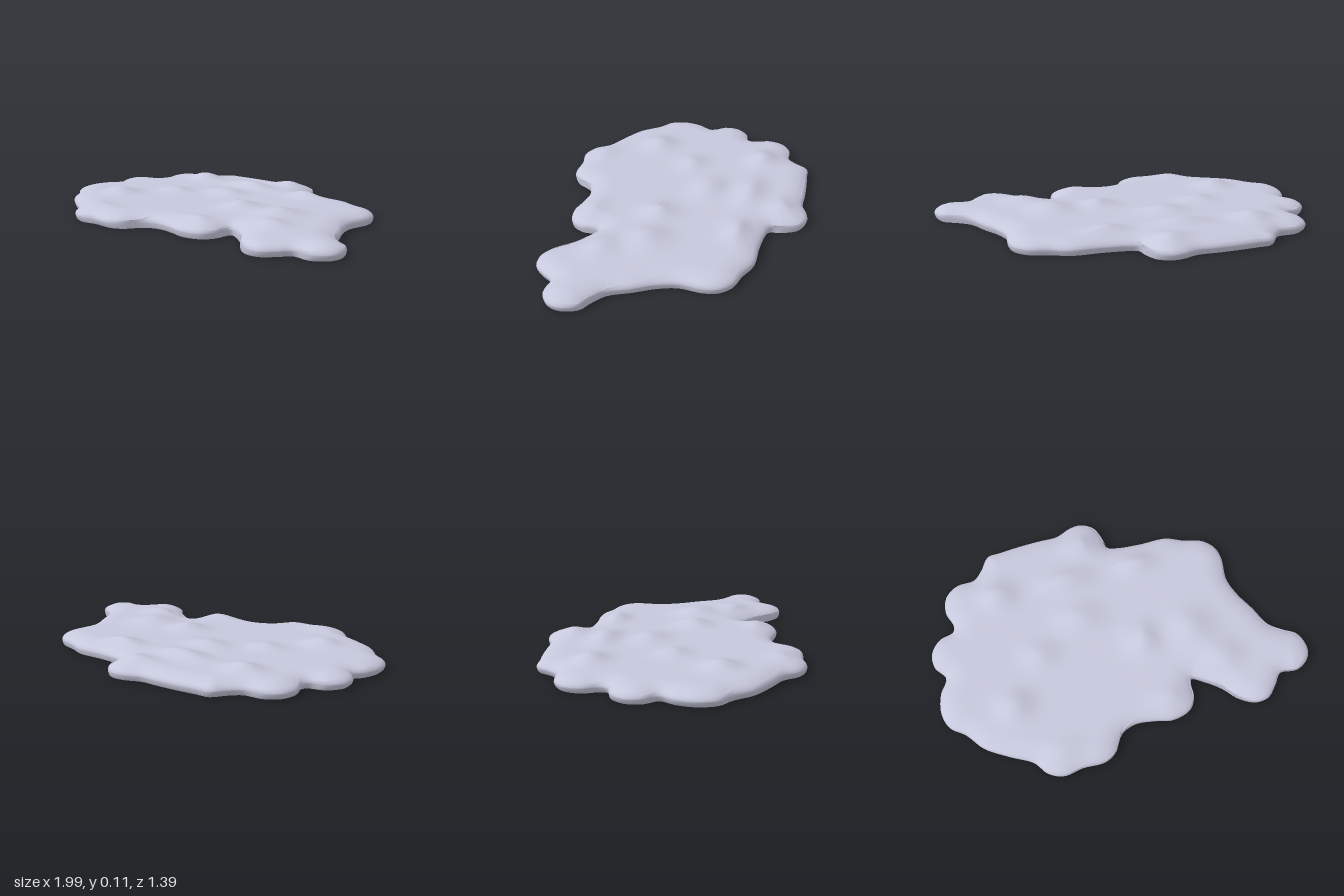
import * as THREE from 'three';

// Plan outline as x, z points
const OUTLINE = [
  1, .28, .985, .34, .92, .39, .82, .39, .775, .45, .72, .51, .65, .52, .57, .48,
  .5, .41, .42, .355, .345, .32, .335, .36, .335, .42, .3, .485, .2, .52, .1, .505,
  0, .5, -.08, .535, -.14, .63, -.2, .665, -.32, .67, -.42, .69, -.5, .66, -.56, .59,
  -.68, .53, -.8, .46, -.88, .37, -.96, .31, -.99, .22, -.975, .12, -.935, .04, -.985, -.03,
  -.99, -.11, -.94, -.18, -.86, -.21, -.85, -.25, -.88, -.33, -.865, -.42, -.8, -.475, -.7, -.49,
  -.65, -.54, -.6, -.615, -.53, -.625, -.42, -.64, -.3, -.65, -.2, -.655, -.12, -.69, -.06, -.7,
  .01, -.67, .05, -.59, .065, -.53, .12, -.515, .25, -.51, .4, -.515, .5, -.48, .6, -.455,
  .66, -.4, .68, -.33, .675, -.2, .71, -.1, .77, 0, .83, .11, .9, .16, .97, .2,
];

// Soft mounds on the upper side: x, z, radius x, radius z, height
const MOUNDS = [
  [-.58, -.35, .11, .09, .036], [-.2, -.36, .17, .08, .034], [.2, -.38, .12, .08, .03],
  [-.17, -.13, .13, .1, .03], [-.42, .03, .1, .09, .026], [-.6, .28, .1, .1, .036],
  [.14, .06, .1, .1, .036], [.4, .05, .13, .13, .036], [.53, .24, .12, .1, .028],
  [.2, .41, .11, .08, .016], [-.4, .56, .12, .08, .012], [-.08, -.56, .12, .08, .022],
];

const SEGMENTS = 320, RINGS = 40, RIM_Y = .026, CX = .15, CZ = 0;

function edgeDistance(x, z, edge) {
  let best = Infinity;
  for (const p of edge) best = Math.min(best, (p.x - x) ** 2 + (p.z - z) ** 2);
  return Math.sqrt(best);
}

// Rounded rim rising to a plateau, with mounds fading out at the edge
function heightAt(x, z, d) {
  const t = Math.min(d / .12, 1);
  let y = RIM_Y + .047 * Math.sqrt(1 - (1 - t) ** 2);
  for (const [mx, mz, rx, rz, h] of MOUNDS) {
    const q = ((x - mx) / rx) ** 2 + ((z - mz) / rz) ** 2;
    y += t * h * Math.exp(-q * 1.4);
  }
  return y;
}

function makeTop(edge) {
  const pos = [], index = [];
  const ring = (s, yOf) => edge.forEach((p) => {
    const x = CX + (p.x - CX) * s, z = CZ + (p.z - CZ) * s;
    pos.push(x, yOf(x, z), z);
  });
  // Tucked-under lower edge, then rings closing towards the middle
  ring(.985, () => 0);
  ring(.995, () => .01);
  ring(1, () => RIM_Y);
  for (let r = 1; r < RINGS; r++) {
    ring(1 - (r / RINGS) ** 2, (x, z) => heightAt(x, z, edgeDistance(x, z, edge)));
  }
  const count = RINGS + 2;
  for (let r = 0; r < count - 1; r++) {
    for (let j = 0; j < SEGMENTS; j++) {
      const k = (j + 1) % SEGMENTS, o = r * SEGMENTS, i = o + SEGMENTS;
      index.push(i + j, o + k, o + j, i + j, i + k, o + k);
    }
  }
  const centre = pos.length / 3, last = (count - 1) * SEGMENTS;
  pos.push(CX, heightAt(CX, CZ, 1), CZ);
  for (let j = 0; j < SEGMENTS; j++) index.push(centre, last + (j + 1) % SEGMENTS, last + j);
  return build(pos, index);
}

function makeUnderside(edge) {
  const pos = [CX, 0, CZ], index = [];
  edge.forEach((p, j) => {
    pos.push(CX + (p.x - CX) * .985, 0, CZ + (p.z - CZ) * .985);
    index.push(0, j + 1, (j + 1) % SEGMENTS + 1);
  });
  return build(pos, index);
}

function build(pos, index) {
  const g = new THREE.BufferGeometry();
  g.setAttribute('position', new THREE.Float32BufferAttribute(pos, 3));
  g.setIndex(index);
  g.computeVertexNormals();
  return g;
}

export function createModel() {
  const group = new THREE.Group();
  group.name = 'cloudSlab';
  const points = [];
  for (let i = 0; i < OUTLINE.length; i += 2) points.push(new THREE.Vector3(OUTLINE[i], 0, OUTLINE[i + 1]));
  const edge = new THREE.CatmullRomCurve3(points, true).getSpacedPoints(SEGMENTS).slice(0, SEGMENTS);

  const material = new THREE.MeshStandardMaterial({ color: 0xc6c8dc });
  material.name = 'paleLavender';

  const top = new THREE.Mesh(makeTop(edge), material);
  top.name = 'billowyTop';
  const underside = new THREE.Mesh(makeUnderside(edge), material);
  underside.name = 'flatUnderside';
  group.add(top, underside);
  return group;
}
